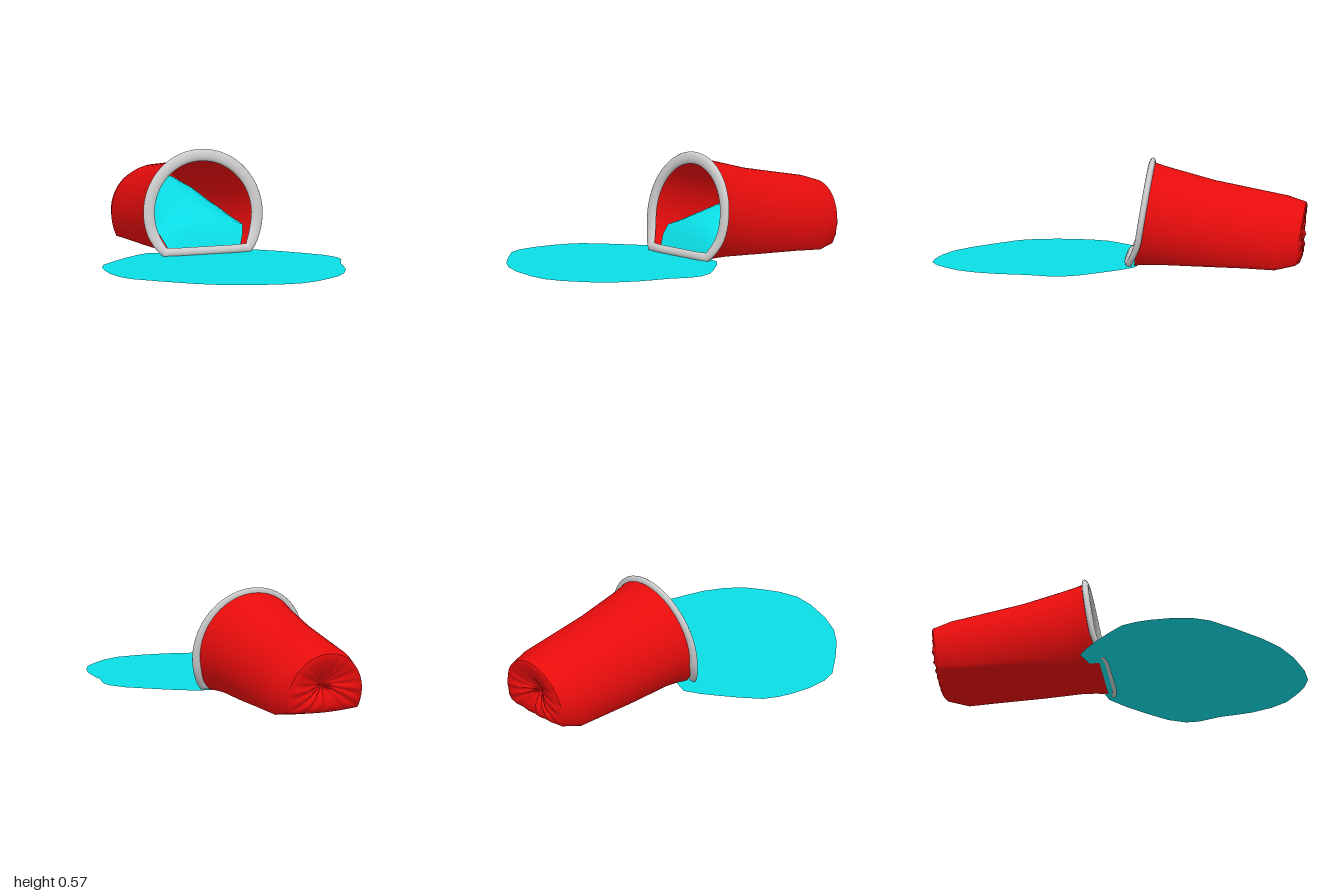
import * as THREE from 'three';

const CX = 0.037; // the cup lies slightly off centre
const mat = (color) => new THREE.MeshStandardMaterial({ color, side: THREE.DoubleSide });

// Flat-bottomed circular loop, leaning back with height; counter-clockwise from the front
function section({ z, top, floor, r, sag = 0.012, lean = 0.16 }) {
  const cy = top - r, a0 = Math.asin((floor - cy) / r), pts = [];
  const add = (x, y) => pts.push(new THREE.Vector3(CX + x, y, z - lean * (y - cy)));
  for (let i = 0; i <= 48; i++) {
    const a = a0 + (Math.PI - 2 * a0) * i / 48;
    add(r * Math.cos(a), cy + r * Math.sin(a));
  }
  const half = r * Math.cos(a0);
  for (let i = 1; i < 16; i++) add(half * (i / 8 - 1), floor - sag * Math.sin(Math.PI * i / 16));
  return pts;
}

// Skin a list of closed loops
function loft(rows, closed = false) {
  const n = rows[0].length, m = rows.length, index = [];
  for (let j = 0; j < (closed ? m : m - 1); j++) for (let i = 0; i < n; i++) {
    const k = (i + 1) % n, next = ((j + 1) % m) * n;
    index.push(j * n + i, next + i, j * n + k, j * n + k, next + i, next + k);
  }
  const g = new THREE.BufferGeometry().setFromPoints(rows.flat());
  g.setIndex(index);
  g.computeVertexNormals();
  return g;
}

// Liquid surface: steep at the mouth, then an arched tongue running to the base
function liquidGeometry() {
  const rows = [ // z, height, half width, drop at the sides
    [-0.085, 0.05, 0.2, 0], [-0.12, 0.125, 0.225, 0.02], [-0.17, 0.2, 0.243, 0.045], [-0.27, 0.24, 0.247, 0.08],
    [-0.4, 0.28, 0.247, 0.115], [-0.65, 0.322, 0.24, 0.15], [-0.82, 0.335, 0.225, 0.16], [-0.94, 0.333, 0.19, 0.16],
  ];
  const across = 16, g = new THREE.PlaneGeometry(2, 1, across, rows.length - 1), p = g.attributes.position;
  for (let i = 0; i < p.count; i++) {
    const [z, h, w, drop] = rows[rows.length - 1 - Math.floor(i / (across + 1))], u = p.getX(i);
    p.setXYZ(i, CX + u * w, h - drop * u * u, z);
  }
  g.computeVertexNormals();
  return g;
}

export function createModel() {
  const model = new THREE.Group();
  const add = (name, geometry, material) => {
    const mesh = new THREE.Mesh(geometry, material);
    mesh.name = name;
    model.add(mesh);
    return mesh;
  };
  const red = mat(0xe80c0c), teal = mat(0x0adce4), grey = mat(0xcccccc);

  // Cup wall: z, top, floor, radius
  const wall = [
    [-0.11, 0.555, 0.03, 0.305], [-0.17, 0.535, 0.032, 0.292], [-0.24, 0.515, 0.032, 0.282],
    [-0.45, 0.457, 0.028, 0.272], [-0.68, 0.41, 0.022, 0.265], [-0.84, 0.378, 0.013, 0.259],
    [-0.945, 0.345, 0.033, 0.224],
  ].map(([z, top, floor, r], i) => section({ z, top, floor, r, sag: i ? 0.012 : 0 }));
  add('cupWall', loft(wall), red);

  // Crumpled base: smooth fan above, bulging folds below a sunken pinch
  const edge = wall[wall.length - 1], pinch = new THREE.Vector3(CX, 0.17, -0.9);
  const base = [[1, 0, 0], [0.92, 0.02, 0.003], [0.75, 0.03, 0.008], [0.5, 0.035, 0.01], [0.25, 0.02, 0.006], [0.02, 0, 0]]
    .map(([s, push, ripple]) => edge.map((p, i) => {
      const q = pinch.clone().lerp(p, s);
      const low = 1 - THREE.MathUtils.smoothstep(p.y, 0.1, 0.26);
      q.z += -push * (0.6 + 0.5 * low) + ripple * (0.25 + 0.75 * low) * Math.cos(i * Math.PI / 2);
      return q;
    }));
  add('cupBase', loft(base), red);

  // Rolled rim, its flattened bottom thinner and pushed forward
  const path = section({ z: -0.112, top: 0.543, floor: 0.048, r: 0.304, sag: 0 });
  const n = path.length, rim = [];
  const flat = path.map((p, i) => THREE.MathUtils.smoothstep(i > 48 ? Math.min(i - 48, n - i) : Math.max(-i, i - 48), -5, 3));
  for (let j = 0; j < 14; j++) {
    const a = j * Math.PI * 2 / 14;
    rim.push(path.map((p, i) => {
      const t = path[(i + 1) % n].clone().sub(path[(i + n - 1) % n]);
      const out = new THREE.Vector3(t.y, -t.x, 0).normalize();
      const q = p.clone().addScaledVector(out, (0.032 - 0.01 * flat[i]) * Math.cos(a));
      q.z += -0.018 * Math.sin(a) + 0.042 * flat[i] - 0.16 * (q.y - p.y);
      return q;
    }));
  }
  add('cupRim', loft(rim, true), grey);

  add('liquidInCup', liquidGeometry(), teal);

  // Spilled puddle, level with the cup's lip
  const outline = [
    [-0.26, -0.165], [-0.34, -0.12], [-0.42, -0.06], [-0.51, 0.015], [-0.6, 0.1], [-0.635, 0.18], [-0.652, 0.26],
    [-0.66, 0.37], [-0.645, 0.49], [-0.605, 0.575], [-0.48, 0.7], [-0.34, 0.825], [-0.22, 0.905], [-0.08, 0.96],
    [0.08, 0.995], [0.2, 1], [0.3, 0.965], [0.38, 0.915], [0.465, 0.85], [0.525, 0.765], [0.57, 0.66], [0.59, 0.57],
    [0.605, 0.48], [0.65, 0.36], [0.652, 0.29], [0.61, 0.2], [0.52, 0.1], [0.42, 0], [0.32, -0.08],
    [0.22, -0.1], [0.03, -0.11], [-0.15, -0.13],
  ].map(([x, z]) => new THREE.Vector2(x, -z));
  const puddle = add('puddle', new THREE.ShapeGeometry(new THREE.Shape(outline)), teal);
  puddle.rotation.x = -Math.PI / 2;
  puddle.position.y = 0.03;

  return model;
}
